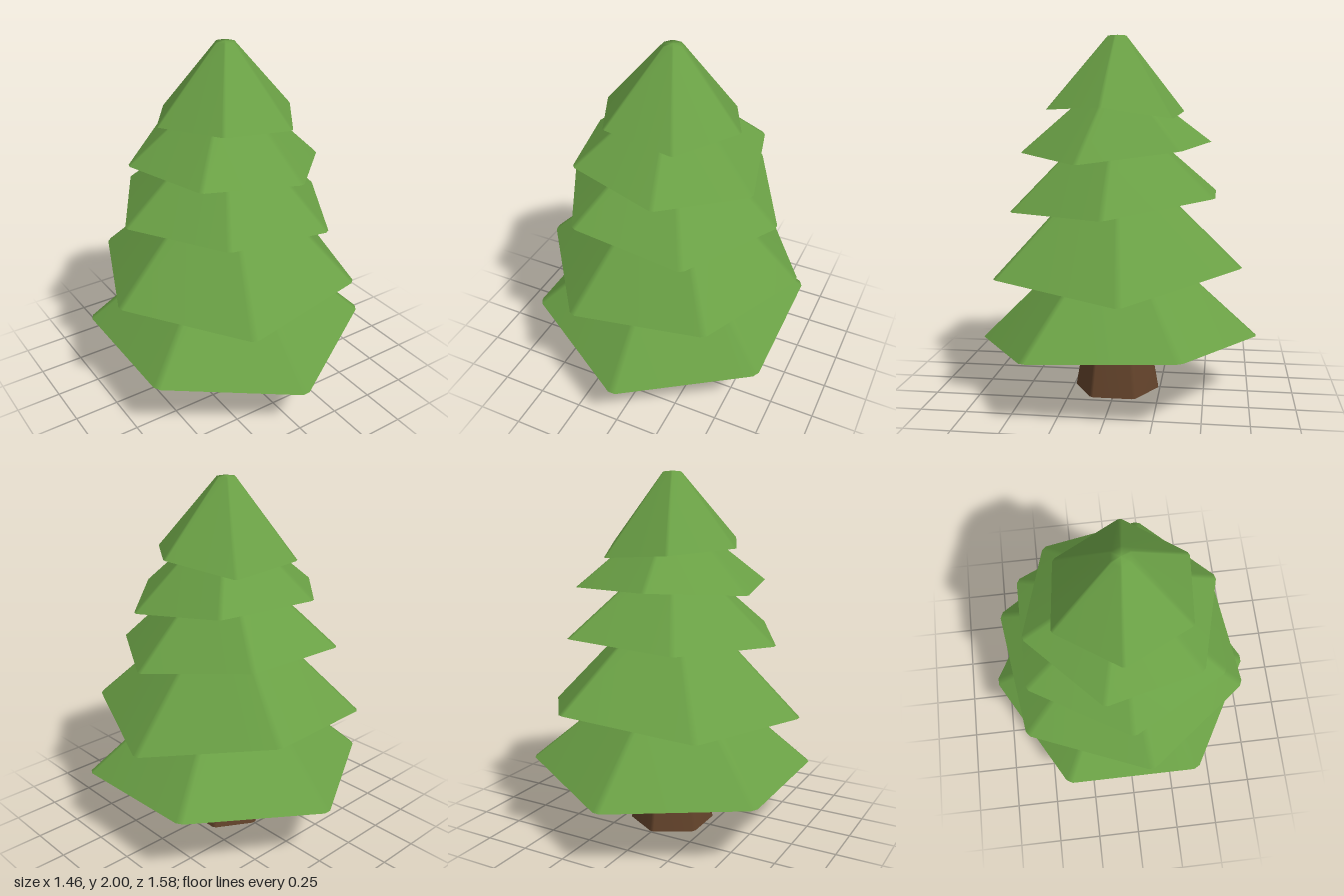
import * as THREE from 'three';

const green = new THREE.MeshStandardMaterial({ color: 0x6aa045, side: THREE.DoubleSide });
const brown = new THREE.MeshStandardMaterial({ color: 0x62422a, side: THREE.DoubleSide });

// Rim corners [x, y, z] of each sagging tier, plus the radius and height of its crown
const tiers = [
  { name: 'bottomTier', crown: [0.15, 0.91], rim: [
    [0.70, 0.345, 0.40], [0, 0.265, 0.80], [-0.70, 0.345, 0.40],
    [-0.70, 0.345, -0.40], [0, 0.33, -0.80], [0.70, 0.38, -0.40]] },
  { name: 'lowerTier', crown: [0.14, 1.28], rim: [
    [0.74, 0.655, -0.10], [0.46, 0.715, 0.60], [-0.28, 0.66, 0.70],
    [-0.74, 0.695, 0.10], [-0.46, 0.71, -0.60], [0.28, 0.775, -0.70]] },
  { name: 'middleTier', crown: [0.12, 1.53], rim: [
    [0.62, 1.06, 0], [0.30, 1.05, 0.545], [-0.33, 1.12, 0.54],
    [-0.625, 1.10, 0], [-0.305, 1.12, -0.55], [0.325, 1.145, -0.55]] },
  { name: 'upperTier', crown: [0.10, 1.74], rim: [
    [0.52, 1.325, 0.15], [0.13, 1.36, 0.525], [-0.395, 1.395, 0.385],
    [-0.52, 1.38, -0.14], [-0.125, 1.415, -0.525], [0.39, 1.39, -0.375]] },
  { name: 'topTier', crown: [0.055, 1.995], rim: [
    [0.40, 1.61, 0.04], [0.17, 1.595, 0.37], [-0.23, 1.63, 0.335],
    [-0.40, 1.605, -0.03], [-0.17, 1.585, -0.365], [0.235, 1.55, -0.325]] },
];

// Joins closed rings of points into a smooth surface
function loft(rings) {
  const n = rings[0].length;
  const positions = rings.flat().flatMap((p) => [p.x, p.y, p.z]);
  const index = [];
  for (let r = 0; r < rings.length - 1; r++) {
    for (let j = 0; j < n; j++) {
      const k = (j + 1) % n;
      const a = r * n + j, b = r * n + k, c = a + n, d = b + n;
      index.push(a, c, b, b, c, d);
    }
  }
  const geometry = new THREE.BufferGeometry();
  geometry.setAttribute('position', new THREE.Float32BufferAttribute(positions, 3));
  geometry.setIndex(index);
  geometry.computeVertexNormals();
  return geometry;
}

// Cuts each corner of a ring into two close points
function chamfer(corners, amount) {
  const n = corners.length;
  return corners.flatMap((p, i) => [
    p.clone().lerp(corners[(i + n - 1) % n], amount),
    p.clone().lerp(corners[(i + 1) % n], amount),
  ]);
}

// Copy of a rim pulled towards the axis to a given radius; y follows a rule
const shrink = (rim, radius, yOf) => rim.map((p) => {
  const s = radius / Math.hypot(p.x, p.z);
  return new THREE.Vector3(p.x * s, yOf(p), p.z * s);
});

function createTier({ name, crown, rim }) {
  const group = new THREE.Group();
  group.name = name;
  const corners = rim.map((p) => new THREE.Vector3(...p));
  const edge = chamfer(corners, 0.03);
  const [r, y] = crown;
  const size = Math.hypot(rim[0][0], rim[0][2]);

  // Sloping outside with a small capped crown
  const top = chamfer(shrink(corners, r, () => y), 0.1);
  const tip = top.map(() => new THREE.Vector3(0, y + 0.005, 0));
  const outside = new THREE.Mesh(loft([edge, top, tip]), green);
  outside.name = 'needles';

  // Shallow underside, then a steep hollow around the axis
  const lip = shrink(edge, size * 0.42, (p) => p.y + size * 0.1);
  const roof = shrink(edge, r * 0.6, () => y - size * 0.12);
  const peak = edge.map(() => new THREE.Vector3(0, y - size * 0.12, 0));
  const flange = new THREE.Mesh(loft([lip, edge]), green);
  flange.name = 'underside';
  const hollow = new THREE.Mesh(loft([peak, roof, lip]), green);
  hollow.name = 'hollow';

  group.add(outside, flange, hollow);
  return group;
}

export function createModel() {
  const tree = new THREE.Group();
  tree.name = 'pineTree';

  // Tapered six-sided trunk, open at the base
  const trunkRing = (radius, y) => chamfer(Array.from({ length: 6 }, (_, i) => {
    const a = Math.PI / 6 + i * Math.PI / 3;
    return new THREE.Vector3(radius * Math.cos(a), y, radius * Math.sin(a));
  }), 0.05);
  const cap = trunkRing(0, 0.7);
  const trunk = new THREE.Mesh(loft([trunkRing(0.245, 0), trunkRing(0.12, 0.7), cap]), brown);
  trunk.name = 'trunk';
  tree.add(trunk);

  for (const tier of tiers) tree.add(createTier(tier));
  return tree;
}
